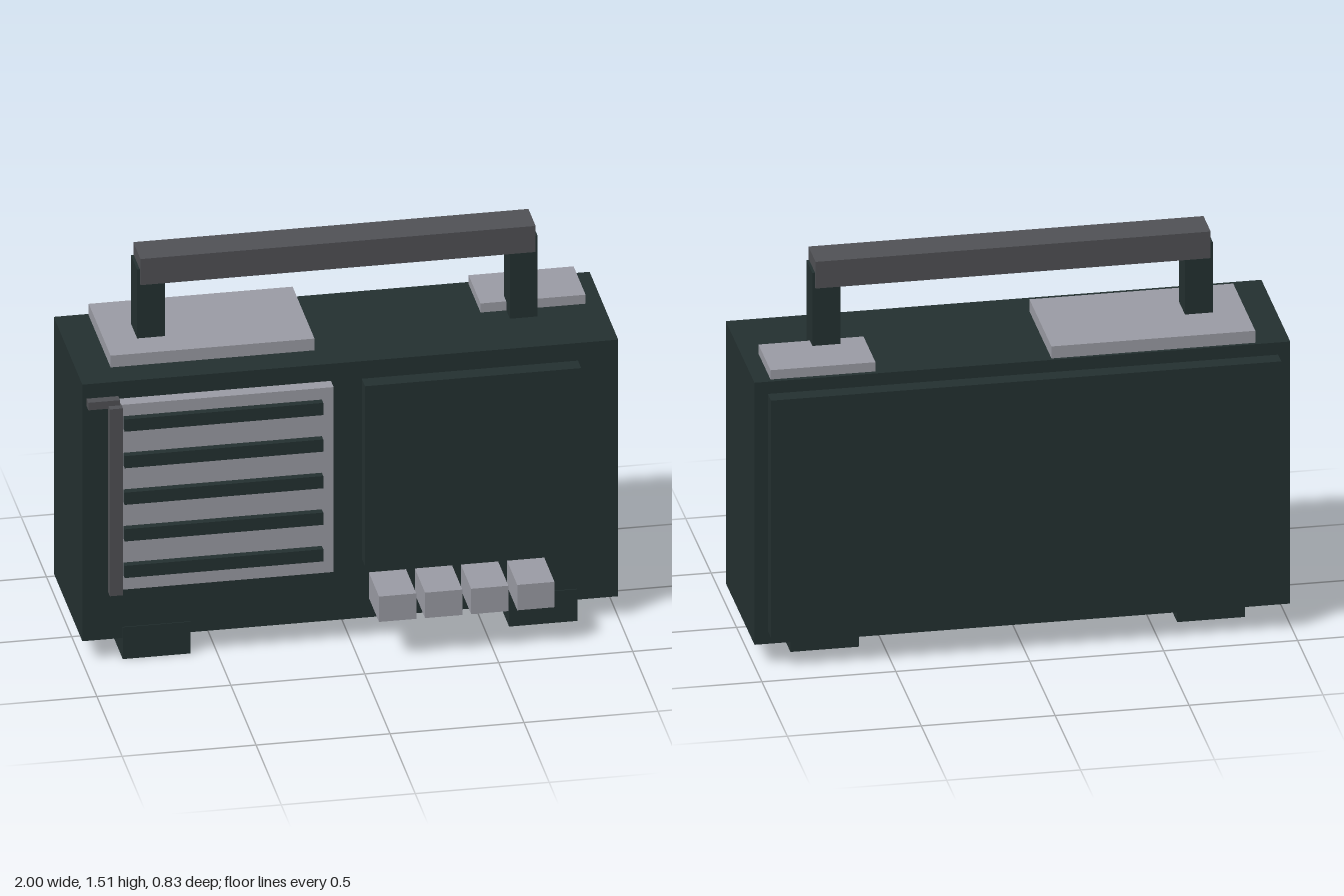
import * as THREE from 'three';

export function createModel() {
  const model = new THREE.Group();
  model.name = 'portableRadio';

  const casing = new THREE.MeshStandardMaterial({ color: 0x243131 });
  casing.name = 'dark green casing';
  const silver = new THREE.MeshStandardMaterial({ color: 0x9c9da6 });
  silver.name = 'silver grey';
  const graphite = new THREE.MeshStandardMaterial({ color: 0x515256 });
  graphite.name = 'graphite grey';

  // Box given by its extents along x, y and z
  function box(name, material, [x0, x1], [y0, y1], [z0, z1]) {
    const mesh = new THREE.Mesh(new THREE.BoxGeometry(x1 - x0, y1 - y0, z1 - z0), material);
    mesh.position.set((x0 + x1) / 2, (y0 + y1) / 2, (z0 + z1) / 2);
    mesh.name = name;
    model.add(mesh);
  }

  // Cabinet with back cover and front dial panel
  box('body', casing, [-1, 1], [0.085, 1.137], [-0.355, 0.212]);
  box('backCover', casing, [-0.955, 0.95], [0.135, 1.088], [-0.417, -0.35]);
  box('dialPanel', casing, [0.043, 0.85], [0.327, 1.065], [0.2, 0.275]);

  // Feet
  box('rightFoot', casing, [-0.85, -0.597], [0, 0.13], [-0.255, 0.216]);
  box('leftFoot', casing, [0.592, 0.847], [0, 0.13], [-0.255, 0.216]);

  // Speaker grille with slats
  box('speakerPanel', silver, [-0.9, -0.072], [0.309, 1.067], [0.2, 0.264]);
  for (let i = 0; i < 5; i++) {
    const y = 0.395 + i * 0.15;
    box('speakerSlat', casing, [-0.857, -0.116], [y - 0.025, y + 0.025], [0.25, 0.292]);
  }

  // Push buttons
  for (let i = 0; i < 4; i++) {
    const x = 0.069 + i * 0.172;
    box('pushButton', silver, [x, x + 0.139], [0.165, 0.269], [0.2, 0.415]);
  }

  // Upright aerial and its top catch
  box('aerial', graphite, [-0.915, -0.866], [0.307, 1.073], [0.264, 0.305]);
  box('aerialCatch', graphite, [-0.99, -0.872], [1.063, 1.094], [0.243, 0.278]);

  // Plates on the top
  box('largeTopPlate', silver, [-0.872, -0.111], [1.12, 1.185], [-0.342, 0.092]);
  box('smallTopPlate', silver, [0.545, 0.937], [1.12, 1.174], [-0.337, -0.1]);

  // Carrying handle
  box('rightHandlePost', casing, [-0.75, -0.646], [1.12, 1.467], [-0.15, -0.03]);
  box('leftHandlePost', casing, [0.641, 0.745], [1.12, 1.467], [-0.15, -0.03]);
  box('handleGrip', graphite, [-0.74, 0.735], [1.408, 1.515], [-0.16, -0.018]);

  return model;
}
